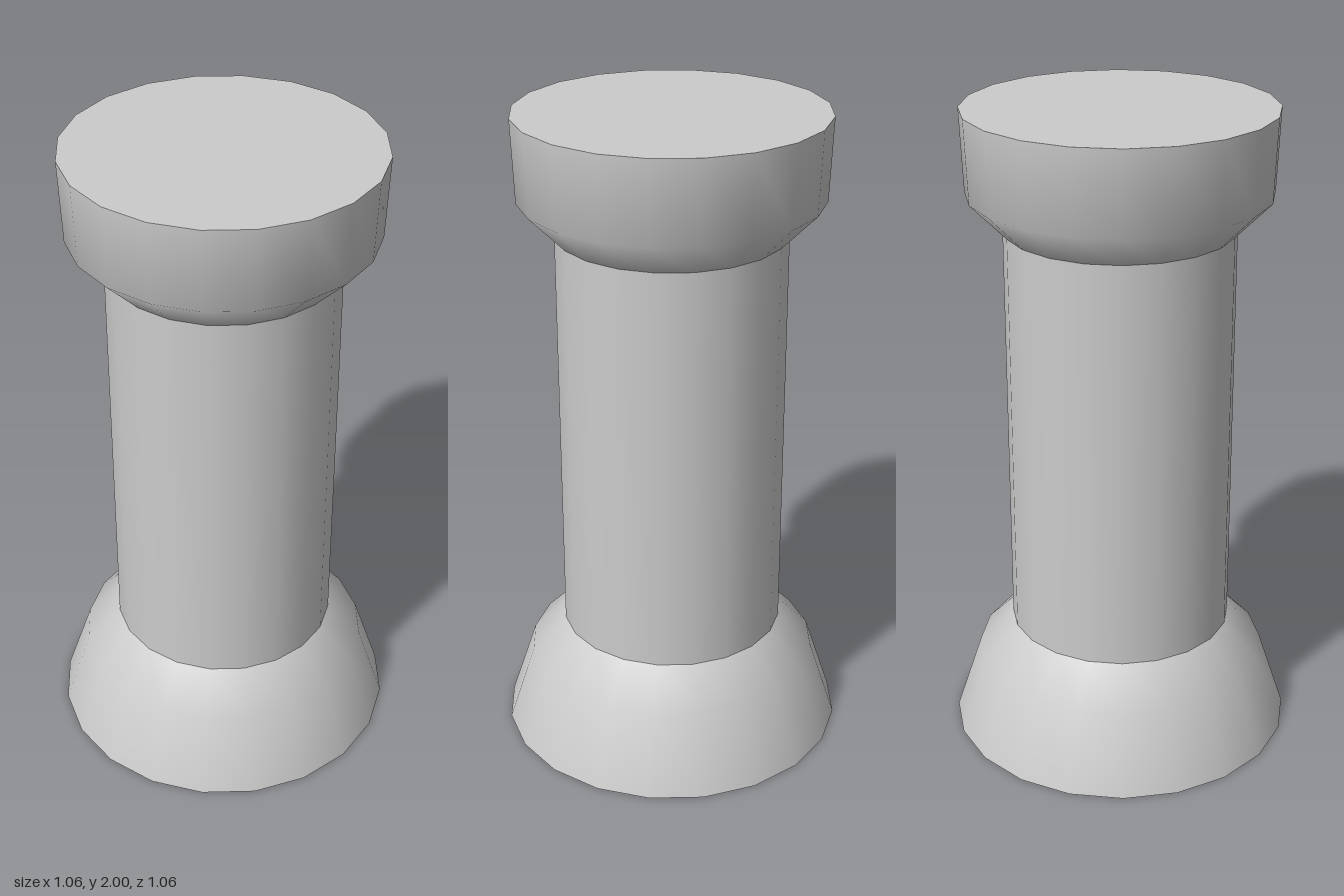
import * as THREE from 'three';

const SIDES = 20;
const TURN = Math.PI / SIDES; // flat sides face the axes
const APOTHEM = Math.cos(TURN);

const material = new THREE.MeshStandardMaterial({ color: 0xcccccc });

// Smooth turned wall from [half width across flats, height] pairs, bottom to top
function turned(name, profile) {
  const points = profile.map(([w, y]) => new THREE.Vector2(w / APOTHEM, y));
  const mesh = new THREE.Mesh(new THREE.LatheGeometry(points, SIDES, TURN), material);
  mesh.name = name;
  return mesh;
}

// Flat end disc, facing up (+1) or down (-1)
function disc(name, w, y, facing) {
  const geometry = new THREE.CircleGeometry(w / APOTHEM, SIDES, TURN);
  geometry.rotateX(-facing * Math.PI / 2).translate(0, y, 0);
  const mesh = new THREE.Mesh(geometry, material);
  mesh.name = name;
  return mesh;
}

export function createModel() {
  const column = new THREE.Group();
  column.name = 'column';

  // Flared foot
  const base = new THREE.Group();
  base.name = 'base';
  base.add(
    turned('baseWall', [[0.528, 0], [0.447, 0.25], [0.341, 0.36]]),
    disc('baseUnderside', 0.528, 0, -1)
  );

  // Straight shaft
  const shaft = turned('shaft', [[0.341, 0.36], [0.341, 1.64]]);

  // Wider head
  const capital = new THREE.Group();
  capital.name = 'capital';
  capital.add(
    turned('capitalWall', [[0.341, 1.64], [0.447, 1.75], [0.457, 2]]),
    disc('capitalTop', 0.457, 2, 1)
  );

  column.add(base, shaft, capital);
  return column;
}
